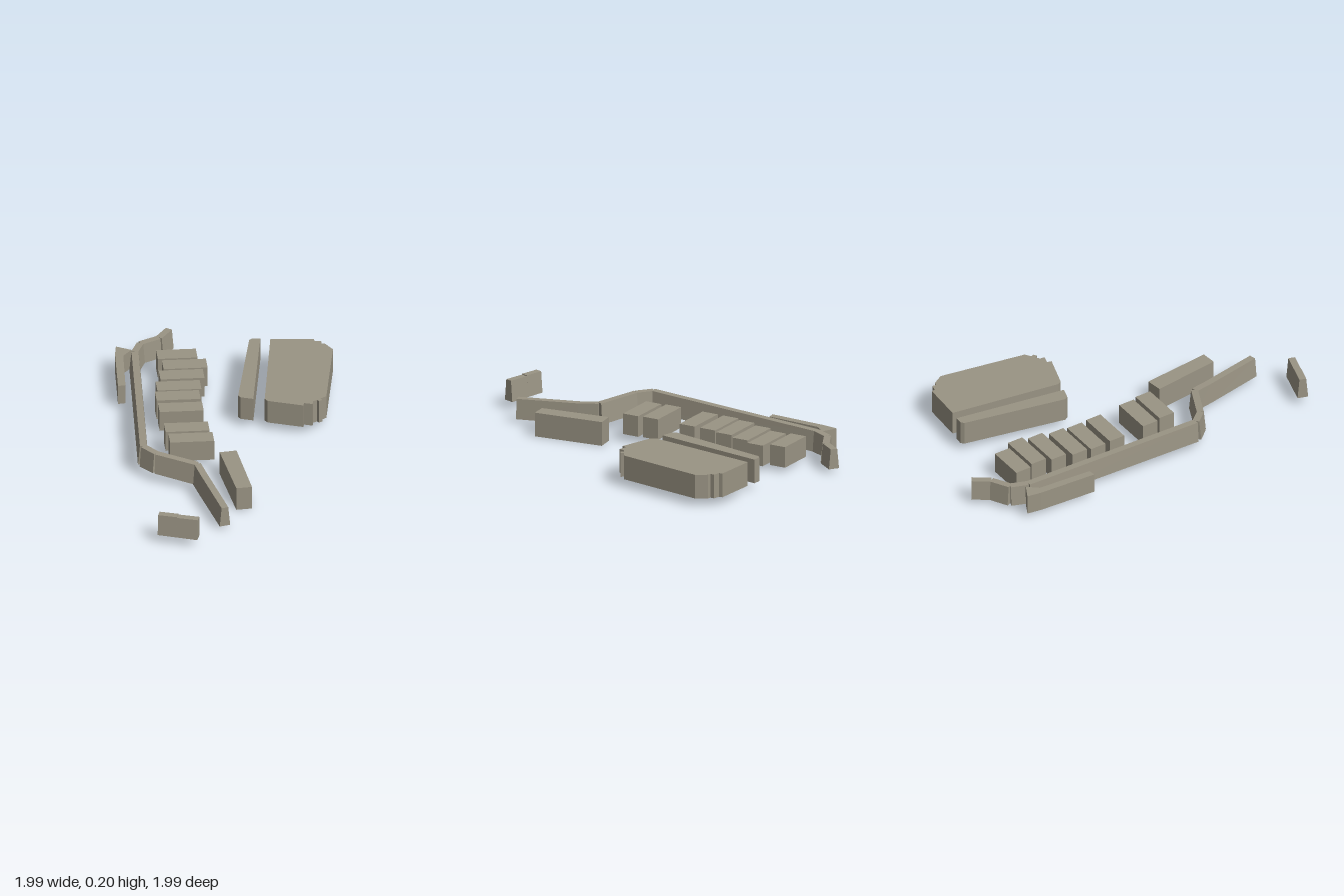
import * as THREE from 'three';

const stone = new THREE.MeshStandardMaterial({ color: 0x9a9484, flatShading: true });

// Upright block over a plan outline of [x, z] corners
function block(name, outline, bottom, top) {
  const shape = new THREE.Shape(outline.map(([x, z]) => new THREE.Vector2(x, -z)));
  const geo = new THREE.ExtrudeGeometry(shape, { depth: top - bottom, bevelEnabled: false });
  geo.rotateX(-Math.PI / 2).translate(0, bottom, 0);
  const mesh = new THREE.Mesh(geo, stone);
  mesh.name = name;
  return mesh;
}

// Straight wall with battered sides between two stations [x, z, bottom, top]
function wallSegment(name, a, b) {
  const geo = new THREE.BoxGeometry(1, 1, 1).toNonIndexed();
  const p = geo.attributes.position;
  const dx = b[0] - a[0], dz = b[1] - a[1], len = Math.hypot(dx, dz);
  for (let i = 0; i < p.count; i++) {
    const u = p.getX(i) + 0.5, upper = p.getY(i) > 0;
    const side = Math.sign(p.getZ(i)) * (upper ? 0.021 : 0.033);
    const k = upper ? 3 : 2;
    p.setXYZ(i,
      a[0] + dx * u - (dz / len) * side,
      a[k] + (b[k] - a[k]) * u,
      a[1] + dz * u + (dx / len) * side);
  }
  geo.computeVertexNormals();
  const mesh = new THREE.Mesh(geo, stone);
  mesh.name = name;
  return mesh;
}

export function createModel() {
  const model = new THREE.Group();
  model.name = 'walledSettlement';

  // Large block with nibbled corners, and the narrow block beside it
  model.add(block('largeBlock', [
    [-0.445, -0.77], [-0.29, -0.98], [-0.27, -0.97], [-0.24, -1], [-0.22, -0.985],
    [-0.205, -1], [-0.125, -1], [0.295, -0.64], [0.295, -0.595], [0.315, -0.595],
    [0.315, -0.57], [0.295, -0.57], [0.295, -0.54], [0.32, -0.52], [0.28, -0.485],
    [0.3, -0.465], [0.13, -0.325], [0.1, -0.325],
  ], 0.05, 0.2));
  model.add(block('narrowBlock', [
    [-0.485, -0.725], [0.06, -0.27], [0, -0.22], [-0.025, -0.22], [-0.51, -0.66], [-0.515, -0.685],
  ], 0.05, 0.2));

  // Row of small blocks: back corner and base height of each
  const row = new THREE.Group();
  row.name = 'blockRow';
  [
    [-0.673, -0.383, 0.03], [-0.54, -0.36, 0.032], [-0.45, -0.27, 0.035], [-0.354, -0.176, 0.037],
    [-0.258, -0.1, 0.04], [-0.136, -0.032, 0.042], [0.082, 0.085, 0.048], [0.2, 0.138, 0.05],
  ].forEach(([x, z, base], i) => {
    const l = i === 0 ? 0.9 : 1;
    row.add(block('rowBlock' + (i + 1), [
      [x, z], [x + 0.09, z + 0.053],
      [x + 0.09 - 0.141 * l, z + 0.053 + 0.224 * l], [x - 0.141 * l, z + 0.224 * l],
    ], base, base + 0.13));
  });
  model.add(row);

  // Outlying blocks either side of the wall
  model.add(block('leftBlock', [[0.418, 0.12], [0.817, 0.3], [0.774, 0.385], [0.375, 0.214]], 0, 0.15));
  model.add(block('rightBlock', [
    [-0.987, -0.02], [-0.9, -0.072], [-0.874, 0.008], [-0.588, 0.203], [-0.607, 0.245], [-0.918, 0.037],
  ], 0.028, 0.153));

  // Long boundary wall, one straight segment per stretch
  const wall = new THREE.Group();
  wall.name = 'boundaryWall';
  const stations = [
    [-0.966, -0.4, 0.028, 0.153], [-0.92, -0.29, 0.028, 0.153], [-0.93, -0.16, 0.03, 0.156],
    [-0.865, -0.072, 0.033, 0.16], [0.105, 0.582, 0.065, 0.195], [0.21, 0.562, 0.063, 0.19],
    [0.43, 0.42, 0.04, 0.17], [0.55, 0.457, 0.032, 0.16], [0.917, 0.575, 0.025, 0.15],
  ];
  for (let i = 1; i < stations.length; i++) {
    wall.add(wallSegment('wallSegment' + i, stations[i - 1], stations[i]));
  }
  model.add(wall);

  // Detached piece of wall with a small step in its top
  const detached = new THREE.Group();
  detached.name = 'detachedWall';
  detached.add(wallSegment('detachedWallFront', [0.785, 0.97, 0.055, 0.187], [0.872, 0.894, 0.053, 0.187]));
  detached.add(wallSegment('detachedWallBack', [0.872, 0.894, 0.053, 0.182], [0.968, 0.81, 0.05, 0.182]));
  model.add(detached);

  return model;
}
